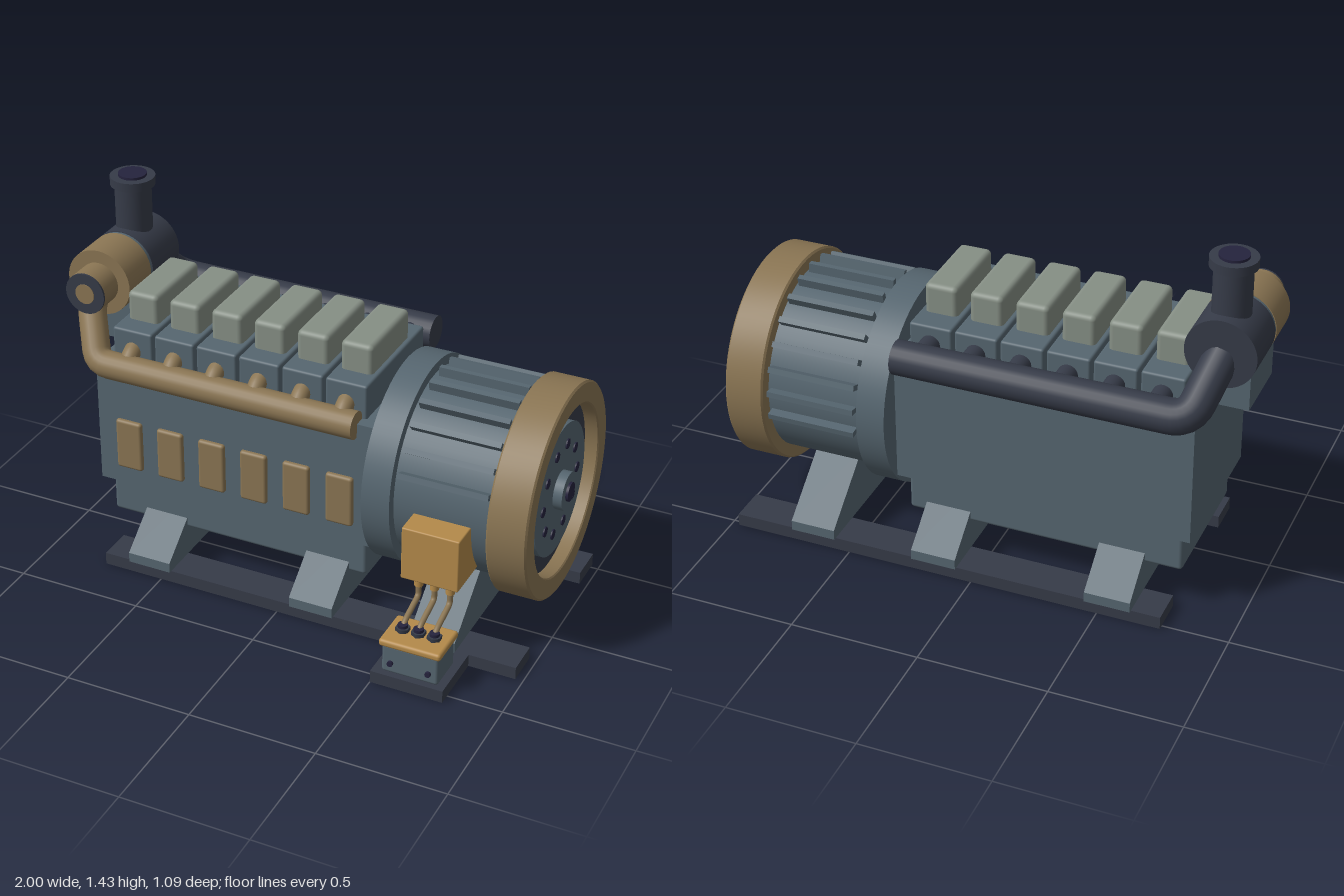
import * as THREE from 'three';
import { toCreasedNormals } from 'three/addons/utils/BufferGeometryUtils.js';
import { RoundedBoxGeometry } from 'three/addons/geometries/RoundedBoxGeometry.js';

const paint = (name, color) => Object.assign(new THREE.MeshStandardMaterial({ color }), { name });

export function createModel() {
  const slate = paint('slate', 0x566670), dark = paint('charcoal', 0x363b48), bronze = paint('bronze', 0x8a7553);
  const sage = paint('sage', 0x868f85), gold = paint('gold', 0xb48a4a), navy = paint('navy', 0x25233d);
  const model = new THREE.Group();
  model.name = 'generatorSet';
  const AY = 0.58, AZ = -0.11; // crank axis

  const add = (name, geo, mat, x = 0, y = 0, z = 0) => {
    const mesh = new THREE.Mesh(geo, mat);
    mesh.name = name;
    mesh.position.set(x, y, z);
    model.add(mesh);
    return mesh;
  };
  // Box from its limits on each axis, optionally rounded
  const box = (name, mat, [x0, x1], [y0, y1], [z0, z1], r = 0) => {
    const s = [x1 - x0, y1 - y0, z1 - z0];
    const geo = r ? new RoundedBoxGeometry(...s, 3, r) : new THREE.BoxGeometry(...s);
    return add(name, geo, mat, (x0 + x1) / 2, (y0 + y1) / 2, (z0 + z1) / 2);
  };
  // Cylinder between two positions on one axis; p, q are the other two coordinates in xyz order
  const cyl = (name, mat, axis, r, from, to, p, q, seg = 32) => {
    const geo = new THREE.CylinderGeometry(r, r, to - from, seg), m = (from + to) / 2;
    if (axis === 'x') geo.rotateZ(-Math.PI / 2);
    if (axis === 'z') geo.rotateX(Math.PI / 2);
    const pos = { x: [m, p, q], y: [p, m, q], z: [p, q, m] }[axis];
    return add(name, geo, mat, ...pos);
  };
  // Capped pipe through points with rounded corners
  const pipe = (name, mat, pts, r, bend, steps = 64) => {
    const v = pts.map(p => new THREE.Vector3(...p)), path = new THREE.CurvePath();
    let last = v[0];
    for (let i = 1; i < v.length - 1; i++) {
      const a = v[i].clone().add(v[i - 1].clone().sub(v[i]).setLength(bend));
      const b = v[i].clone().add(v[i + 1].clone().sub(v[i]).setLength(bend));
      path.add(new THREE.LineCurve3(last, a));
      path.add(new THREE.QuadraticBezierCurve3(a, v[i], b));
      last = b;
    }
    path.add(new THREE.LineCurve3(last, v[v.length - 1]));
    add(name, new THREE.TubeGeometry(path, steps, r, 20), mat);
    [0, 1].forEach(t => {
      const dir = path.getTangentAt(t).multiplyScalar(t ? 1 : -1);
      const cap = add(name + 'Cap', new THREE.CircleGeometry(r, 20), mat, ...path.getPointAt(t));
      cap.quaternion.setFromUnitVectors(new THREE.Vector3(0, 0, 1), dir);
    });
  };

  // Skid rails and connector pad
  box('frontRail', dark, [-0.745, 0.97], [0, 0.05], [0.16, 0.3]);
  box('rearRail', dark, [-0.745, 0.97], [0, 0.05], [-0.52, -0.375]);
  box('connectorPad', dark, [0.5, 0.785], [0, 0.05], [0.3, 0.545]);

  // Sloping cross feet
  const foot = new THREE.Shape([[-0.422, 0.05], [0.422, 0.05], [0.422, 0.09], [0.16, 0.3], [-0.16, 0.3], [-0.422, 0.09]]
    .map(p => new THREE.Vector2(...p)));
  [-0.6325, 0.0575, 0.555].forEach(x => {
    const geo = new THREE.ExtrudeGeometry(foot, { depth: 0.178, bevelEnabled: false });
    geo.rotateY(Math.PI / 2);
    add('foot', geo, slate, x, 0, AZ);
  });

  // Engine block, oil pan and turbo bracket
  box('engineBlock', slate, [-0.81, 0.34], [0.325, 0.84], [-0.41, 0.19]);
  box('oilPan', slate, [-0.775, 0.305], [0.17, 0.345], [-0.38, 0.16], 0.015);
  box('turboBracket', slate, [-0.96, -0.76], [0.84, 1.02], [-0.27, 0.0]);

  // Six cylinder units
  for (let i = 0; i < 6; i++) {
    const x = -0.675 + 0.177 * i;
    box('cylinderHead', slate, [x - 0.083, x + 0.083], [0.83, 0.975], [-0.37, 0.145], 0.01);
    box('valveCover', sage, [x - 0.064, x + 0.064], [0.955, 1.09], [-0.275, 0.06], 0.02);
    box('inspectionPanel', bronze, [x - 0.055, x + 0.055], [0.4, 0.61], [0.17, 0.207], 0.012);
    pipe('exhaustPort', bronze, [[x, 0.9, 0.12], [x, 0.88, 0.165], [x, 0.84, 0.19]], 0.034, 0.02, 12);
    cyl('intakePort', dark, 'z', 0.038, -0.47, -0.36, x, 0.9, 20);
  }

  // Manifolds leading to the turbocharger
  pipe('exhaustManifold', bronze, [[0.275, 0.838, 0.195], [-0.8, 0.838, 0.195], [-0.885, 1.01, 0.08], [-0.88, 1.08, 0.0]], 0.054, 0.05);
  pipe('intakeManifold', dark, [[0.295, 0.893, -0.483], [-0.81, 0.893, -0.483], [-0.865, 1.07, -0.3]], 0.065, 0.07);

  // Turbocharger and stack
  const TX = -0.868, TY = 1.09;
  cyl('turbineHousing', bronze, 'z', 0.132, -0.12, 0.045, TX, TY, 48);
  cyl('turboJoint', slate, 'z', 0.129, -0.135, -0.12, TX, TY, 48);
  cyl('compressorHousing', dark, 'z', 0.132, -0.343, -0.135, TX, TY, 48);
  cyl('turbineNozzle', bronze, 'z', 0.082, 0.04, 0.143, TX, TY);
  cyl('nozzleFace', dark, 'z', 0.082, 0.143, 0.151, TX, TY);
  cyl('nozzleHub', bronze, 'z', 0.04, 0.15, 0.154, TX, TY);
  cyl('stack', dark, 'y', 0.071, 1.15, 1.39, TX, -0.235);
  cyl('stackFlange', dark, 'y', 0.087, 1.385, 1.42, TX, -0.235);
  cyl('stackOpening', navy, 'y', 0.055, 1.418, 1.43, TX, -0.235);

  // Generator housing with cooling fins
  cyl('bellFlange', slate, 'x', 0.402, 0.34, 0.452, AY, AZ, 64);
  cyl('generatorHousing', slate, 'x', 0.362, 0.45, 0.84, AY, AZ, 64);
  for (let i = 0; i < 13; i++) {
    const a = THREE.MathUtils.degToRad(20 + 14 * i);
    const fin = add('coolingFin', new THREE.BoxGeometry(0.35, 0.022, 0.07), slate,
      0.645, AY + 0.363 * Math.sin(a), AZ + 0.363 * Math.cos(a));
    fin.rotation.x = -a;
  }

  // Flywheel: rim, recess, disc, hub and bolt holes
  const rim = [[0.325, 0.83], [0.408, 0.83], [0.415, 0.837], [0.415, 0.978], [0.408, 0.985], [0.335, 0.985], [0.33, 0.98], [0.33, 0.83]];
  const rimGeo = new THREE.LatheGeometry(rim.map(p => new THREE.Vector2(...p)), 64);
  rimGeo.rotateZ(-Math.PI / 2);
  add('flywheelRim', toCreasedNormals(rimGeo, 0.5), bronze, 0, AY, AZ);
  cyl('flywheelBack', bronze, 'x', 0.4, 0.831, 0.84, AY, AZ, 64);
  cyl('flywheelRecess', dark, 'x', 0.331, 0.835, 0.93, AY, AZ, 64);
  cyl('flywheelDisc', slate, 'x', 0.257, 0.92, 0.955, AY, AZ, 64);
  cyl('flywheelHub', slate, 'x', 0.074, 0.95, 0.99, AY, AZ);
  cyl('flywheelBore', navy, 'x', 0.037, 0.985, 1.0, AY, AZ);
  for (let i = 0; i < 10; i++) {
    const a = i * Math.PI / 5;
    cyl('boltHole', navy, 'x', 0.02, 0.95, 0.96, AY + 0.174 * Math.sin(a), AZ + 0.174 * Math.cos(a), 20);
  }

  // Terminal box, connector box and cables
  box('terminalBox', gold, [0.53, 0.755], [0.35, 0.567], [0.17, 0.357], 0.006);
  box('connectorBox', slate, [0.535, 0.757], [0.05, 0.17], [0.372, 0.525], 0.012);
  box('connectorLid', gold, [0.525, 0.767], [0.163, 0.193], [0.36, 0.535], 0.012);
  [0.583, 0.645, 0.707].forEach(x => {
    cyl('cableSocket', gold, 'y', 0.017, 0.305, 0.355, x, 0.307, 20);
    pipe('cable', bronze, [[x, 0.31, 0.307], [x, 0.26, 0.307], [x, 0.222, 0.43], [x, 0.2, 0.448]], 0.011, 0.02, 32);
    cyl('cableGland', dark, 'y', 0.028, 0.19, 0.208, x, 0.445, 6);
    cyl('glandCollar', navy, 'y', 0.019, 0.205, 0.22, x, 0.445, 20);
  });
  [0.572, 0.72].forEach(x => cyl('connectorScrew', navy, 'z', 0.011, 0.52, 0.536, x, 0.095, 16));

  return model;
}
